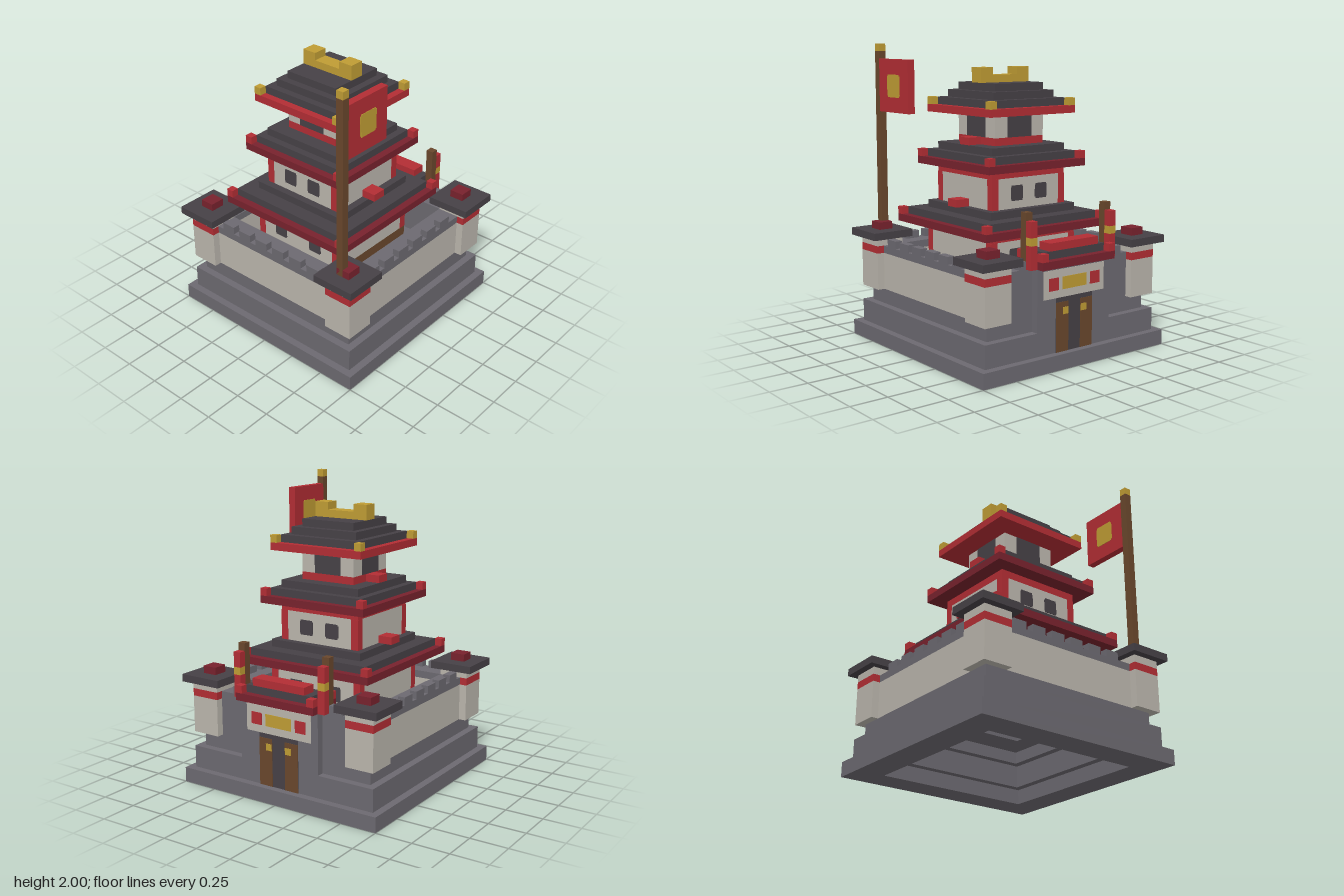
import * as THREE from 'three';

const mat = (name, color) => {
  const m = new THREE.MeshStandardMaterial({ color });
  m.name = name;
  return m;
};
const STONE = mat('stone grey', 0x6c6970);
const SLATE = mat('dark slate', 0x464146);
const PLASTER = mat('pale plaster', 0xbab5ac);
const RED = mat('bright red', 0xb22d34);
const CRIMSON = mat('dark red', 0x78222d);
const WOOD = mat('brown wood', 0x69472c);
const GOLD = mat('gold', 0xbf9c34);

const CZ = 0.05; // the keep sits slightly forward of the courtyard centre

export function createModel() {
  const model = new THREE.Group();
  model.name = 'fortress';
  let part = model;
  const group = (name) => {
    part = new THREE.Group();
    part.name = name;
    model.add(part);
  };

  // Box given by its minimum and maximum on each axis
  const box = (name, m, x0, x1, y0, y1, z0, z1) => {
    const mesh = new THREE.Mesh(new THREE.BoxGeometry(x1 - x0, y1 - y0, z1 - z0), m);
    mesh.position.set((x0 + x1) / 2, (y0 + y1) / 2, (z0 + z1) / 2);
    mesh.name = name;
    part.add(mesh);
  };
  // Square slab of half width h
  const slab = (name, m, h, y0, y1, cz = CZ) => box(name, m, -h, h, y0, y1, cz - h, cz + h);
  // Hollow square ring
  const ring = (name, m, h, inner, y0, y1, cz = CZ) => {
    for (const s of [-1, 1]) {
      const a = s > 0 ? inner : -h, b = s > 0 ? h : -inner;
      box(name, m, -h, h, y0, y1, cz + a, cz + b);
      box(name, m, a, b, y0, y1, cz - inner, cz + inner);
    }
  };
  // Small square blocks at the four corners of a square of half width h
  const corners = (name, m, h, w, y0, y1, cz = CZ) => {
    for (const sx of [-1, 1]) for (const sz of [-1, 1]) {
      const x = sx * (h - w / 2), z = cz + sz * (h - w / 2);
      box(name, m, x - w / 2, x + w / 2, y0, y1, z - w / 2, z + w / 2);
    }
  };

  // Stepped hollow base and courtyard floor
  group('base');
  ring('baseStep', STONE, 0.75, 0.55, 0, 0.1, 0);
  ring('baseStep', STONE, 0.7, 0.5, 0.1, 0.25, 0);
  ring('baseStep', STONE, 0.65, 0.45, 0.25, 0.35, 0);
  box('courtyard', STONE, -0.5, -0.3, 0.33, 0.38, -0.5, 0.5);
  box('courtyard', STONE, 0.3, 0.5, 0.33, 0.38, -0.5, 0.5);
  box('courtyard', STONE, -0.3, 0.3, 0.33, 0.38, -0.5, -0.25);
  box('courtyard', STONE, -0.3, 0.3, 0.33, 0.38, 0.35, 0.5);

  // Curtain walls with a parapet and merlons
  group('walls');
  for (const s of [-1, 1]) {
    const a = s > 0 ? 0.5 : -0.65, b = s > 0 ? 0.65 : -0.5;
    box('sideWall', PLASTER, a, b, 0.35, 0.6, -0.5, 0.5);
    box('sideParapet', STONE, a, b, 0.6, 0.65, -0.5, 0.5);
    box('endWall', s > 0 ? PLASTER : STONE, -0.5, 0.5, 0.35, 0.6, a, b);
    box('endParapet', STONE, -0.5, 0.5, 0.6, 0.65, a, b);
    const m0 = s > 0 ? 0.6 : -0.65, m1 = m0 + 0.05;
    for (let i = 0; i < 6; i++) {
      const z = -0.4 + i * 0.15, x = -0.45 + i * 0.15;
      box('merlon', STONE, m0, m1, 0.65, 0.7, z, z + 0.1);
      if (s > 0 || i === 0 || i === 5) box('merlon', STONE, x, x + 0.1, 0.65, 0.7, m0, m1);
    }
  }

  // Corner turrets
  group('turrets');
  corners('turretBody', PLASTER, 0.7, 0.2, 0.35, 0.6, 0);
  corners('turretBand', RED, 0.7, 0.2, 0.6, 0.65, 0);
  corners('turretTop', PLASTER, 0.7, 0.2, 0.65, 0.7, 0);
  corners('turretRoof', SLATE, 0.75, 0.3, 0.7, 0.75, 0);
  corners('turretCap', CRIMSON, 0.65, 0.1, 0.75, 0.8, 0);

  // Two windows on the front and back of a storey
  const windows = (h, x, y) => {
    for (const s of [-1, 1]) for (const f of [-1, 1]) {
      const z = CZ + f * h;
      box('window', SLATE, s * x - 0.045, s * x + 0.045, y, y + 0.1, z - 0.004, z + 0.004);
      box('window', SLATE, s * x - 0.05, s * x + 0.05, y + 0.01, y + 0.09, z - 0.003, z + 0.003);
    }
  };
  // Plaster walls with red corner posts and a red top beam
  const storey = (h, y0, y1) => {
    ring('storeyWall', PLASTER, h, h - 0.05, y0, y1 - 0.05);
    ring('storeyBeam', RED, h, h - 0.05, y1 - 0.05, y1);
    corners('cornerPost', RED, h + 0.002, 0.052, y0, y1 - 0.05);
  };
  // Eave, upturned corners and shrinking roof steps
  const roof = (h, y, steps, eave, tip) => {
    slab('eave', eave, h, y, y + 0.05);
    corners('eaveTip', tip, h, 0.05, y + 0.05, y + 0.1);
    steps.forEach((w, i) => slab('roofStep', SLATE, w, y + 0.05 * (i + 1), y + 0.05 * (i + 2)));
  };

  // Three-storey keep
  group('lowerStorey');
  ring('timberSill', WOOD, 0.35, 0.3, 0.35, 0.55);
  storey(0.35, 0.55, 0.8);
  windows(0.35, 0.15, 0.6);
  group('lowerRoof');
  roof(0.5, 0.8, [0.45, 0.35], CRIMSON, RED);

  group('middleStorey');
  storey(0.3, 0.95, 1.2);
  windows(0.3, 0.1, 1.0);
  box('bracket', RED, -0.4, -0.3, 0.95, 1.0, 0, 0.1);
  box('bracket', RED, 0.3, 0.4, 0.95, 1.0, 0, 0.1);
  group('middleRoof');
  roof(0.4, 1.2, [0.35, 0.3], CRIMSON, RED);

  group('upperStorey');
  slab('redPlinth', RED, 0.2, 1.35, 1.4);
  box('bracket', RED, -0.3, 0.3, 1.35, 1.399, 0, 0.1);
  slab('storeyWall', PLASTER, 0.2, 1.4, 1.55);
  box('opening', SLATE, -0.1, 0.1, 1.4, 1.55, CZ - 0.203, CZ + 0.203);
  box('opening', SLATE, -0.203, 0.203, 1.4, 1.55, CZ - 0.1, CZ + 0.1);
  group('upperRoof');
  roof(0.35, 1.55, [0.3, 0.25, 0.2], RED, GOLD);
  box('ridge', GOLD, -0.2, 0.2, 1.75, 1.8, 0, 0.1);
  for (const x of [-0.2, 0.1]) box('ridgeEnd', GOLD, x, x + 0.1, 1.8, 1.85, 0, 0.1);

  // Gatehouse on the back
  group('gatehouse');
  box('gateBody', STONE, -0.3, 0.3, 0.25, 0.65, -0.7, -0.5);
  box('doorGap', SLATE, -0.15, 0.15, 0.1, 0.45, -0.703, -0.698);
  box('signBoard', PLASTER, -0.25, 0.25, 0.45, 0.63, -0.703, -0.698);
  box('signCentre', GOLD, -0.1, 0.1, 0.5, 0.58, -0.706, -0.7);
  for (const s of [-1, 1]) {
    const plate = (n, m, x, w, y0, y1, z) =>
      box(n, m, s * x - w / 2, s * x + w / 2, y0, y1, z, -0.7);
    plate('door', WOOD, 0.1, 0.1, 0.1, 0.42, -0.706);
    plate('doorKnob', GOLD, 0.075, 0.045, 0.34, 0.385, -0.709);
    plate('signEnd', RED, 0.17, 0.08, 0.5, 0.58, -0.706);
  }
  box('gateEave', CRIMSON, -0.3, 0.3, 0.65, 0.7, -0.75, -0.5);
  box('gateRoof', SLATE, -0.25, 0.25, 0.7, 0.75, -0.7, -0.55);
  box('gateRidge', RED, -0.2, 0.2, 0.75, 0.8, -0.7, -0.6);
  for (const x of [-0.3, 0.25]) for (const z of [-0.75, -0.55])
    box('gateEaveTip', RED, x, x + 0.05, 0.7, 0.75, z, z + 0.05);

  // Banner posts beside the gate
  for (const x of [-0.35, 0.3]) {
    box('bannerPost', WOOD, x, x + 0.05, 0.65, 1.0, -0.65, -0.6);
    box('banner', RED, x, x + 0.05, 0.85, 0.95, -0.7, -0.65);
    box('bannerBand', GOLD, x, x + 0.05, 0.8, 0.85, -0.7, -0.65);
    box('banner', RED, x, x + 0.05, 0.65, 0.8, -0.7, -0.65);
  }

  // Flag on the front corner turret
  group('flag');
  box('flagPole', WOOD, 0.55, 0.6, 0.75, 1.95, 0.6, 0.65);
  box('poleFinial', GOLD, 0.55, 0.6, 1.95, 2, 0.6, 0.65);
  box('flagCloth', RED, 0.55, 0.6, 1.55, 1.9, 0.25, 0.6);
  box('flagEmblem', GOLD, 0.547, 0.603, 1.65, 1.8, 0.36, 0.49);
  box('flagEmblem', GOLD, 0.548, 0.602, 1.66, 1.79, 0.35, 0.5);

  return model;
}
